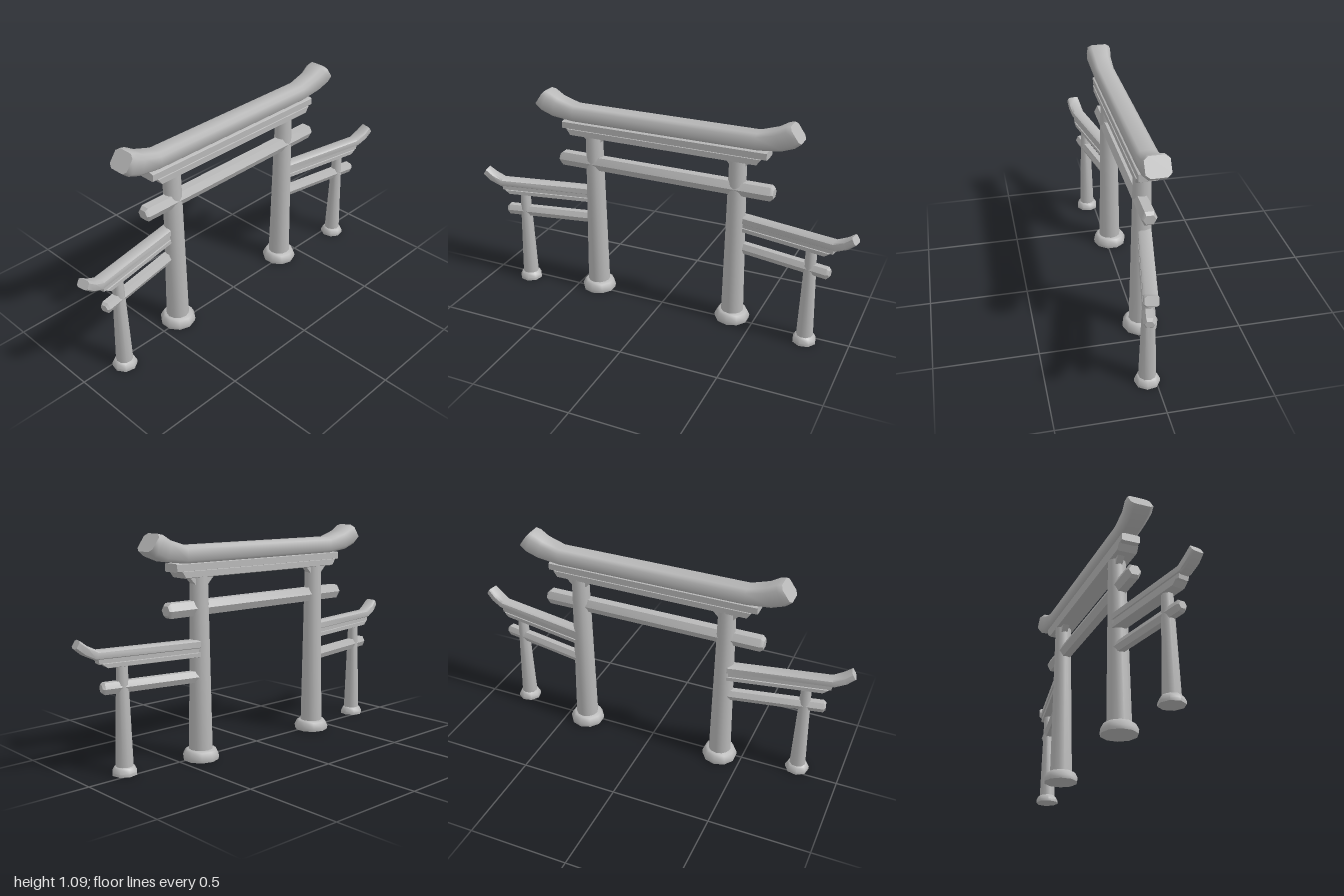
import * as THREE from 'three';
import { toCreasedNormals } from 'three/addons/utils/BufferGeometryUtils.js';

const stone = new THREE.MeshStandardMaterial({ color: 0xb8b8b8 });
stone.name = 'stone grey';

// Unit cross-sections as [y, z], running from +y towards +z
const chamfered = (c) => [[1, 1 - c], [1 - c, 1], [c - 1, 1], [-1, 1 - c], [-1, c - 1], [c - 1, -1], [1 - c, -1], [1, c - 1]];
const hexagon = [[1, 0.55], [0, 1], [-1, 0.55], [-1, -0.55], [0, -1], [1, -0.55]];

// Beam along x. Each section is [xTop, yTop, xBottom, yBottom, halfDepth]
function beam(name, sections, ring, crease = 0.95) {
  const n = ring.length, pos = [], idx = [];
  for (const [xt, yt, xb, yb, d] of sections) {
    for (const [v, w] of ring) {
      const t = (v + 1) / 2;
      pos.push(xb + (xt - xb) * t, yb + (yt - yb) * t, w * d);
    }
  }
  const last = (sections.length - 1) * n;
  for (let j = 0; j < n; j++) {
    const k = (j + 1) % n;
    for (let i = 0; i < last; i += n) {
      idx.push(i + j, i + k, i + n + k, i + j, i + n + k, i + n + j);
    }
    if (j > 0 && j < n - 1) idx.push(0, k, j, last, last + j, last + k);
  }
  const g = new THREE.BufferGeometry();
  g.setAttribute('position', new THREE.Float32BufferAttribute(pos, 3));
  g.setIndex(idx);
  const mesh = new THREE.Mesh(toCreasedNormals(g, crease), stone);
  mesh.name = name;
  return mesh;
}

// Mirror sections in x, keeping them in ascending order
const flip = (s) => s.map(([a, b, c, d, e]) => [-a, b, -c, d, e]).reverse();
const both = (half) => [...flip(half), ...half];

function turned(name, profile, sides) {
  const pts = profile.map(([r, y]) => new THREE.Vector2(r, y));
  const g = toCreasedNormals(new THREE.LatheGeometry(pts, sides), 0.85);
  const mesh = new THREE.Mesh(g, stone);
  mesh.name = name;
  return mesh;
}

function place(mesh, x, y, z) {
  mesh.position.set(x, y, z);
  return mesh;
}

export function createModel() {
  const model = new THREE.Group();
  model.name = 'shrineGate';
  const zc = -0.018;

  // Main lintel with upswept, flaring ends
  model.add(place(beam('topLintel', both([
    [0.48, 1.03, 0.48, 0.948, 0.05],
    [0.57, 1.058, 0.6, 0.962, 0.053],
    [0.615, 1.084, 0.665, 0.988, 0.06],
    [0.64, 1.09, 0.695, 1.012, 0.057],
  ]), chamfered(0.35)), 0, 0, zc));

  // Two stepped boards under the lintel
  model.add(place(beam('upperBoard', both([
    [0.54, 0.95, 0.54, 0.91, 0.046],
  ]), chamfered(0.2), 0.6), 0, 0, zc + 0.006));
  model.add(place(beam('lowerBoard', both([
    [0.515, 0.916, 0.49, 0.88, 0.05],
  ]), chamfered(0.2), 0.6), 0, 0, zc + 0.006));

  // Tie beam through the posts
  model.add(place(beam('tieBeam', both([
    [0.56, 0.77, 0.56, 0.70, 0.038],
    [0.575, 0.757, 0.575, 0.713, 0.03],
  ]), hexagon, 0.6), 0, 0, zc + 0.006));

  for (const side of [1, -1]) {
    const x = side * 0.385;
    // Main post and footing
    model.add(place(turned('mainPost', [[0, 0.03], [0.058, 0.03], [0.043, 0.89], [0, 0.89]], 12), x, 0, zc - 0.002));
    model.add(place(turned('mainFooting', [[0, 0], [0.087, 0], [0.09, 0.018], [0.077, 0.045], [0.068, 0.052], [0, 0.052]], 10), x, 0, zc - 0.002));

    // Diagonal braces at the post head
    for (const dir of [1, -1]) {
      const brace = new THREE.Mesh(new THREE.BoxGeometry(0.08, 0.02, 0.034), stone);
      brace.name = 'postBrace';
      brace.rotation.z = dir * 0.8;
      model.add(place(brace, x + dir * 0.043, 0.866, zc - 0.008));
    }

    // Side wing, angled forwards
    const wing = new THREE.Group();
    wing.name = side > 0 ? 'leftWing' : 'rightWing';
    wing.position.set(side * 0.785, 0, 0.04);
    wing.rotation.y = -side * 0.185;
    const out = (s) => (side > 0 ? s : flip(s));
    wing.add(beam('wingLintel', out([
      [-0.4, 0.588, -0.4, 0.545, 0.031],
      [0.115, 0.588, 0.13, 0.545, 0.031],
      [0.165, 0.613, 0.185, 0.572, 0.033],
      [0.2, 0.64, 0.222, 0.604, 0.03],
    ]), chamfered(0.35)));
    wing.add(beam('wingUpperBoard', out([
      [-0.4, 0.555, -0.4, 0.525, 0.026],
      [0.12, 0.555, 0.115, 0.525, 0.026],
    ]), chamfered(0.2), 0.6));
    wing.add(beam('wingLowerBoard', out([
      [-0.4, 0.53, -0.4, 0.506, 0.031],
      [0.105, 0.53, 0.075, 0.506, 0.031],
    ]), chamfered(0.2), 0.6));
    wing.add(beam('wingTieBeam', out([
      [-0.4, 0.438, -0.4, 0.384, 0.028],
      [0.09, 0.438, 0.09, 0.384, 0.028],
      [0.102, 0.428, 0.102, 0.396, 0.02],
    ]), hexagon, 0.6));
    wing.add(turned('wingPost', [[0, 0.02], [0.042, 0.02], [0.026, 0.515], [0, 0.515]], 10));
    wing.add(turned('wingFooting', [[0, 0], [0.06, 0], [0.06, 0.014], [0.05, 0.034], [0.043, 0.04], [0, 0.04]], 8));
    model.add(wing);
  }
  return model;
}
